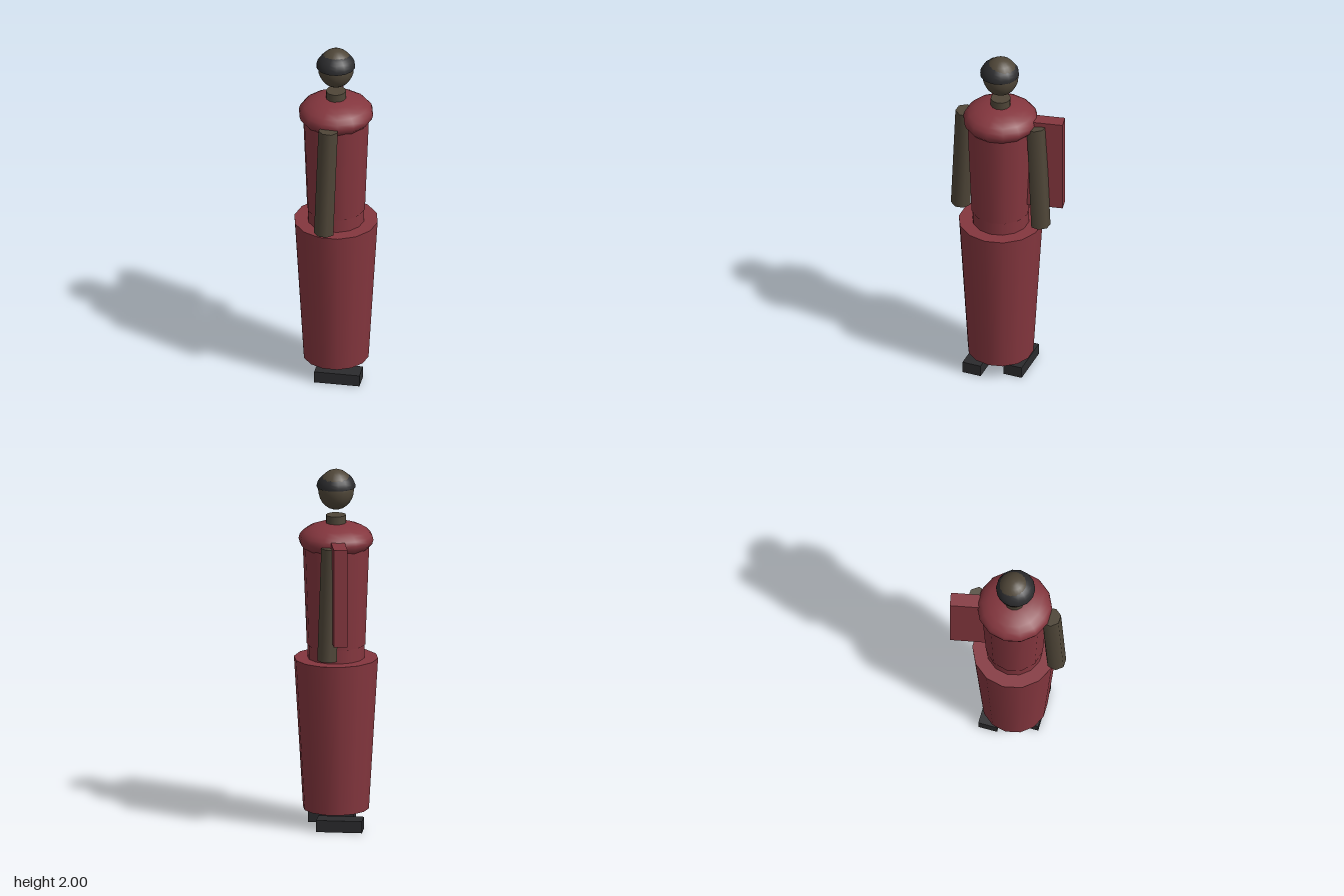
import * as THREE from 'three';

const red = new THREE.MeshStandardMaterial({ color: 0x84363e });
red.name = 'red cloth';
const brown = new THREE.MeshStandardMaterial({ color: 0x4f4638 });
brown.name = 'brown skin';
const dark = new THREE.MeshStandardMaterial({ color: 0x2b2b2d });
dark.name = 'dark hair and shoes';

const AXIS_Z = 0.027; // depth of the body's vertical axis

export function createModel() {
  const model = new THREE.Group();
  model.name = 'robedFigure';

  function add(name, geometry, material, x, y, z) {
    const mesh = new THREE.Mesh(geometry, material);
    mesh.name = name;
    mesh.position.set(x, y, z);
    model.add(mesh);
    return mesh;
  }

  // Upright tapered drum on the body axis, with a corner towards +x
  function drum(name, rTop, rBottom, y0, y1, sides, material) {
    const g = new THREE.CylinderGeometry(rTop, rBottom, y1 - y0, sides).rotateY(Math.PI / 2);
    return add(name, g, material, 0, (y0 + y1) / 2, AXIS_Z);
  }

  // Robe and neck
  drum('skirt', 0.23, 0.18, 0.1, 0.945, 14, red);
  drum('waist', 0.155, 0.155, 0.9, 1.06, 14, red);
  drum('torso', 0.183, 0.16, 1.02, 1.61, 12, red);
  drum('neck', 0.055, 0.055, 1.66, 1.745, 12, brown);

  // Rounded shoulders
  const shoulders = new THREE.SphereGeometry(0.205, 14, 12).scale(1, 0.095 / 0.205, 1);
  add('shoulders', shoulders, red, 0, 1.61, AXIS_Z);

  // Head, with a hair band whose crown is lower than the head
  const head = new THREE.SphereGeometry(0.098, 18, 14).scale(1, 0.112 / 0.098, 1);
  add('head', head, brown, 0, 1.888, AXIS_Z);
  const hair = new THREE.SphereGeometry(0.107, 14, 8, 0, Math.PI * 2, 0, Math.PI / 2)
    .scale(1, 0.087 / 0.107, 1);
  add('hair', hair, dark, 0, 1.9, 0.033).material.side = THREE.DoubleSide;

  // Arms and shoes, in opposite strides on the two sides
  for (const s of [1, -1]) {
    const side = s > 0 ? 'front' : 'back';
    const top = new THREE.Vector3(-0.003 * s, 1.608, AXIS_Z + 0.207 * s);
    const hand = new THREE.Vector3(-0.021 * s, 0.985, AXIS_Z + 0.241 * s);
    const dir = top.clone().sub(hand);
    const start = THREE.MathUtils.degToRad(s > 0 ? 76 : 100);
    const armGeometry = new THREE.CylinderGeometry(0.055, 0.055, dir.length(), 7, 1, false, start);
    const mid = top.clone().add(hand).multiplyScalar(0.5);
    const arm = add(side + 'Arm', armGeometry, brown, mid.x, mid.y, mid.z);
    arm.quaternion.setFromUnitVectors(new THREE.Vector3(0, 1, 0), dir.normalize());

    add(side + 'Shoe', new THREE.BoxGeometry(0.25, 0.065, 0.106), dark,
      0.034 * s, 0.0325, AXIS_Z + 0.1065 * s);
  }

  // Upright slab set into the back
  const slab = new THREE.BoxGeometry(0.075, 0.545, 0.22);
  add('backSlab', slab, red, -0.041, 1.3625, -0.21).rotation.y = 0.2;

  return model;
}
